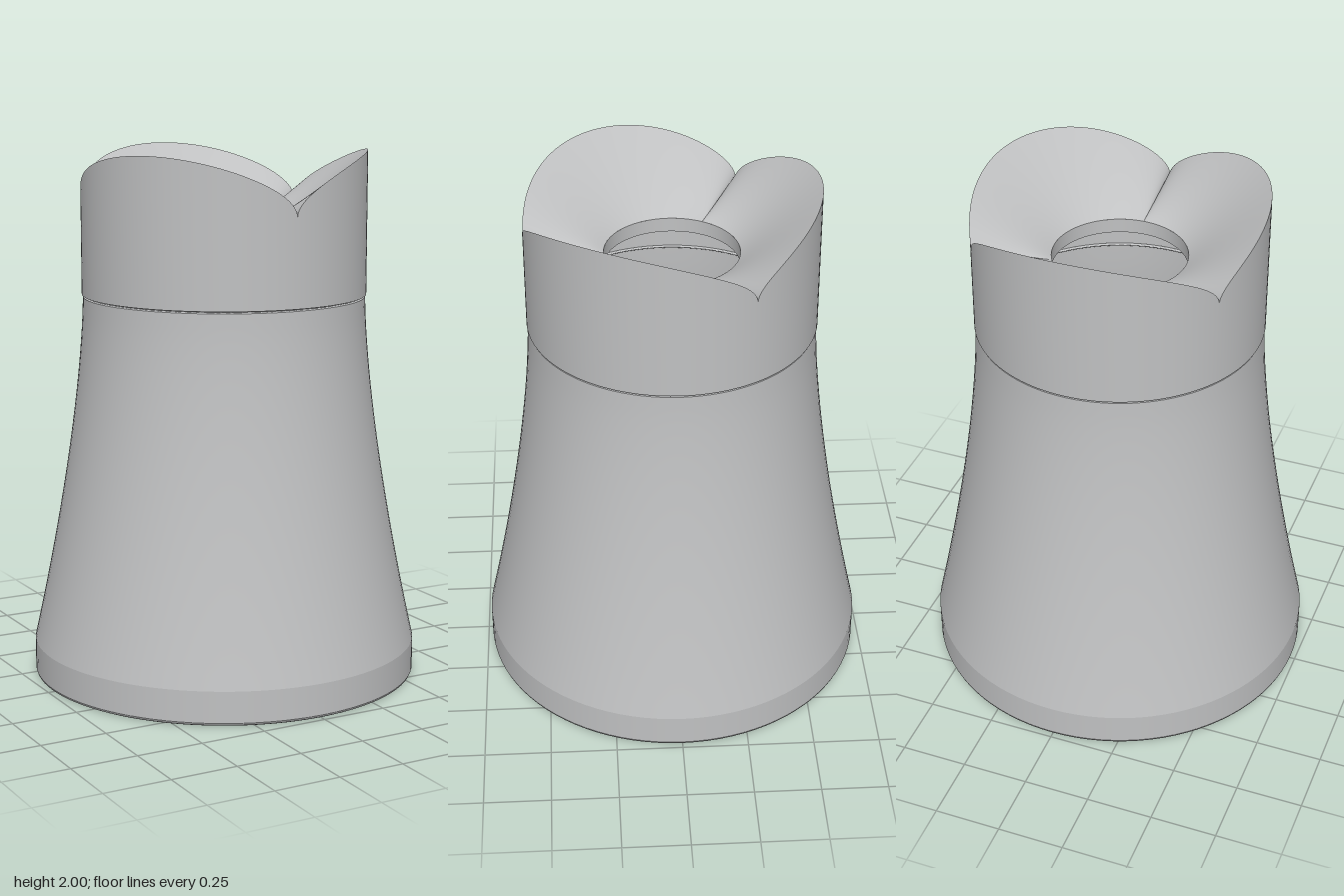
import * as THREE from 'three';

const grey = new THREE.MeshStandardMaterial({ color: 0xc0c1c2, side: THREE.DoubleSide });
grey.name = 'light grey';

const RIM = 0.537, HOLE = 0.248, SEAM = 1.46, THROAT = 1.735;
const PEAK = 2, VALLEY = 1.785, LOBE = Math.PI / 3;

// Height of the scalloped rim at an angle measured from the lobe's peak
function rimHeight(a) {
  const s = Math.min(1, Math.abs(Math.sin(a) / Math.sin(LOBE)));
  return VALLEY + (PEAK - VALLEY) * Math.sqrt(1 - s * s);
}

// Surface swept from a rule point(u, v), with u and v from 0 to 1
function surface(point, nu, nv) {
  const pos = [], index = [];
  for (let j = 0; j <= nv; j++) {
    for (let i = 0; i <= nu; i++) pos.push(...point(i / nu, j / nv));
  }
  for (let j = 0; j < nv; j++) {
    for (let i = 0; i < nu; i++) {
      const a = j * (nu + 1) + i, b = a + nu + 1;
      index.push(a, a + 1, b, b, a + 1, b + 1);
    }
  }
  const g = new THREE.BufferGeometry();
  g.setAttribute('position', new THREE.Float32BufferAttribute(pos, 3));
  g.setIndex(index);
  g.computeVertexNormals();
  return g;
}

function part(name, geometry) {
  const mesh = new THREE.Mesh(geometry, grey);
  mesh.name = name;
  return mesh;
}

const lathe = (points) =>
  new THREE.LatheGeometry(points.map(([r, y]) => new THREE.Vector2(r, y)), 96);

export function createModel() {
  const model = new THREE.Group();
  model.name = 'scallopedTower';

  // Flared body, curving outward to the base
  const profile = [];
  for (let i = 0; i <= 24; i++) {
    const y = 0.13 + (1.452 - 0.13) * i / 24;
    profile.push([0.533 + 0.2 * Math.pow((1.452 - y) / 1.322, 1.5), y]);
  }
  model.add(part('body', lathe(profile)));

  // Upright band at the foot, with a small rounded lower edge
  model.add(part('baseBand', lathe([[0.733, 0.012], [0.733, 0.13]])));
  model.add(part('baseEdge', lathe([[0.722, 0], [0.73, 0.004], [0.733, 0.012]])));

  // Narrow groove between body and crown
  model.add(part('seam', lathe([[0.533, 1.452], [0.527, 1.454], [0.527, 1.458], [RIM, SEAM]])));

  // Crown of three lobes, each an outer wall and a scoop running down to the throat
  const angle = (u) => LOBE * Math.sin((u - 0.5) * Math.PI);
  const wall = surface((u, v) => {
    const a = angle(u);
    return [RIM * Math.sin(a), SEAM + (rimHeight(a) - SEAM) * v, RIM * Math.cos(a)];
  }, 64, 1);
  const scoop = surface((u, v) => {
    const a = angle(u), r = RIM + (HOLE - RIM) * v;
    return [r * Math.sin(a), rimHeight(a) + (THROAT - rimHeight(a)) * v, r * Math.cos(a)];
  }, 64, 12);
  for (let k = 0; k < 3; k++) {
    const lobe = new THREE.Group();
    lobe.name = 'crownLobe' + (k + 1);
    lobe.add(part('outerWall', wall), part('scoop', scoop));
    lobe.rotation.y = LOBE * (1 + 2 * k);
    model.add(lobe);
  }

  // Short open collar around the central hole
  model.add(part('throat', lathe([[HOLE, THROAT], [HOLE, 1.68]])));
  return model;
}
